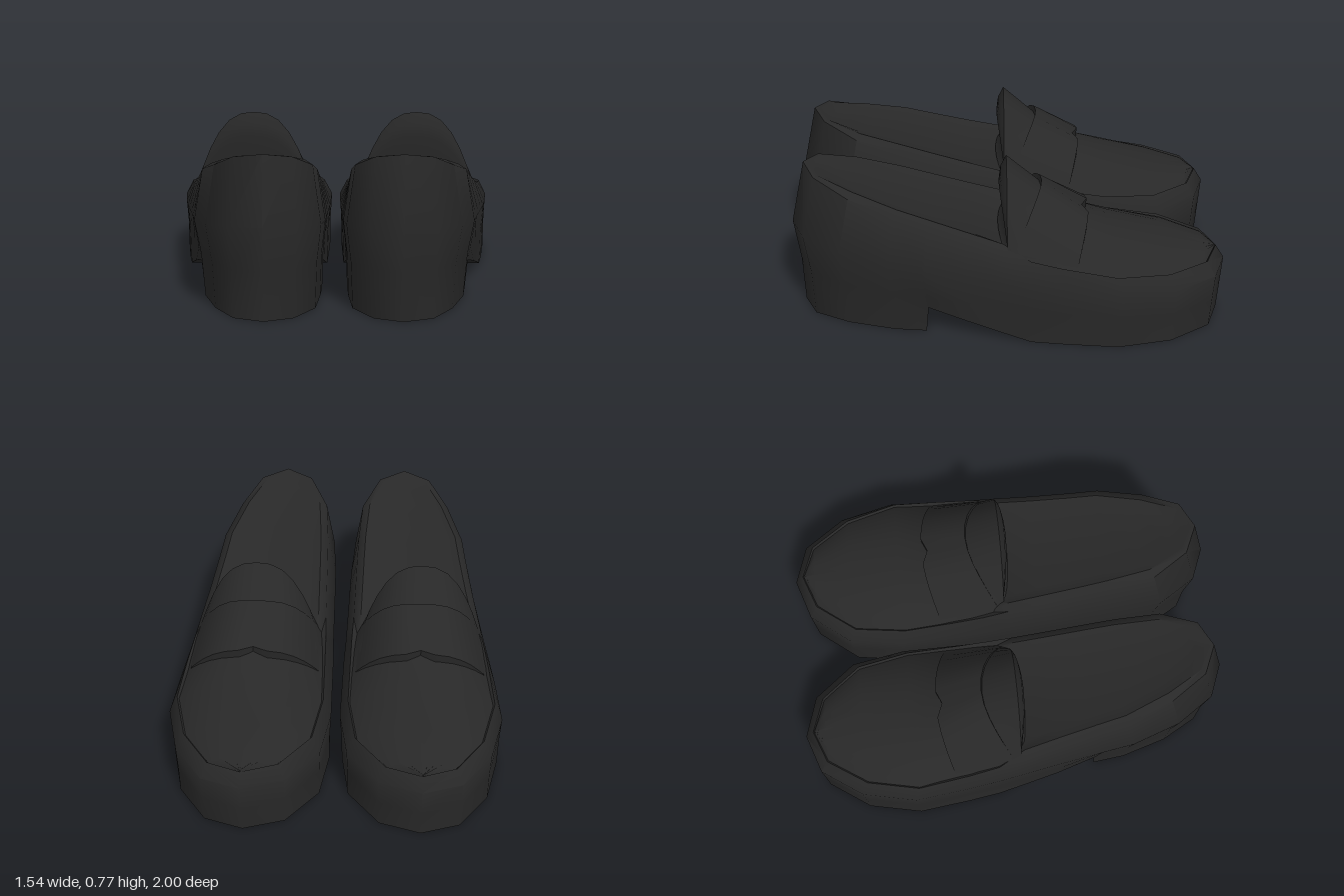
import * as THREE from 'three';
import { toCreasedNormals } from 'three/addons/utils/BufferGeometryUtils.js';

const { lerp, smoothstep } = THREE.MathUtils;

// Skins a list of cross-sections; side = -1 mirrors the part for the other shoe.
function loft(rows, closed, side, crease) {
  const n = rows[0].length, position = [], index = [];
  rows.forEach(r => r.forEach(p => position.push(p[0] * side, p[1], p[2])));
  const same = (a, b) => [0, 1, 2].every(k => Math.abs(position[a * 3 + k] - position[b * 3 + k]) < 1e-5);
  const tri = (a, b, c) => {
    if (same(a, b) || same(b, c) || same(a, c)) return;
    if (side > 0) index.push(a, b, c); else index.push(a, c, b);
  };
  for (let i = 0; i < rows.length - 1; i++) {
    for (let j = 0; j < (closed ? n : n - 1); j++) {
      const a = i * n + j, b = i * n + (j + 1) % n;
      tri(a, b, b + n);
      tri(a, b + n, a + n);
    }
  }
  const g = new THREE.BufferGeometry();
  g.setAttribute('position', new THREE.Float32BufferAttribute(position, 3));
  g.setIndex(index);
  return toCreasedNormals(g, crease);
}

// Height of the top edge of the shoe along its length.
const RIM = [[-1, 0.325], [-0.8, 0.322], [-0.4, 0.35], [-0.1, 0.43], [0, 0.46], [0.25, 0.53], [0.5, 0.605], [0.93, 0.722]];
function rimY(z) {
  let i = 0;
  while (i < RIM.length - 2 && z > RIM[i + 1][0]) i++;
  const [z0, y0] = RIM[i], [z1, y1] = RIM[i + 1];
  return lerp(y0, y1, (z - z0) / (z1 - z0));
}
// The outer edge of the rim sits lower along the quarters, forming a bevel.
const bevelY = z => rimY(z) - 0.025 * smoothstep(z, -0.4, -0.1) * (1 - smoothstep(z, 0.75, 0.93));
// The insole is a shallow hollow that drops away under the toe cover.
const insoleY = z => rimY(z) - lerp(0.06, 0.02, smoothstep(z, -0.1, 0.1));
const lipY = z => rimY(z) - 0.05 * (1 - smoothstep(z, -0.1, 0));

// Outline stations from toe to heel: z, inner x, outer x, sole height, extra outer taper.
const OUTLINE = [
  [-1, 0.4, 0.4, 0, 0], [-0.94, 0.21, 0.58, 0, 0], [-0.75, 0.06, 0.713, 0, 0], [-0.5, 0.02, 0.77, 0, 0],
  [-0.25, 0.023, 0.745, 0, 0], [-0.1, 0.025, 0.725, 0, 0], [0.03, 0.03, 0.705, 0.036, 0],
  [0.2, 0.033, 0.678, 0.083, 0], [0.383, 0.036, 0.652, 0.13, 0.015], [0.395, 0.036, 0.65, 0, 0.025],
  [0.55, 0.04, 0.63, 0, 0.02], [0.77, 0.055, 0.56, 0, 0.01], [0.94, 0.155, 0.45, 0, 0], [1, 0.3, 0.3, 0, 0],
];

function bodySection([z, xl, xr, sole, taper]) {
  const k = (z + 1) / 2, c = (xl + xr) / 2, h = (xr - xl) / 2;
  const level = (inset, toeScale, heelScale, yAt, extra = 0) => {
    const lz = z * (z < 0 ? toeScale : heelScale), w = h - inset * Math.min(1, h / 0.25);
    return [[c - w, yAt(lz), lz], [c + w - extra, yAt(lz), lz]];
  };
  const levels = [
    level(lerp(0.003, 0.03, k), 0.98, 0.96, () => sole, taper),
    level(lerp(0.002, 0.022, k), 0.99, 0.97, () => lerp(0.13, 0.22, k), taper / 2),
    level(0, 1, 1, () => 0.26 + 0.16 * k * k),
    level(0.037, 0.96, 0.935, bevelY),
    level(0.072, 0.94, 0.915, lipY),
    level(0.12, 0.92, 0.87, insoleY),
  ];
  return [levels[0][0], ...levels.map(l => l[1]), ...levels.slice(1).reverse().map(l => l[0])];
}

// Arched section: z at the middle, extra z at the sides, x range, side and crown heights, fullness.
function arch([z, dz, xl, xr, base, top, power = 2.6], notch = 0) {
  const points = [];
  for (let i = 0; i <= 14; i++) {
    const t = Math.cos(i / 14 * Math.PI);
    points.push([
      (xl + xr) / 2 + (xr - xl) / 2 * t,
      base + (top - base) * (1 - Math.abs(t) ** power),
      z + dz * t * t + (i === 7 ? notch : 0),
    ]);
  }
  return points;
}

const VAMP = [
  [-0.955, 0, 0.399, 0.401, 0.318, 0.33], [-0.898, 0, 0.245, 0.545, 0.314, 0.352],
  [-0.72, 0, 0.102, 0.671, 0.313, 0.39], [-0.48, 0, 0.062, 0.728, 0.33, 0.45, 2.3],
  [-0.34, 0.05, 0.065, 0.707, 0.352, 0.5, 2.3], [-0.15, 0.11, 0.085, 0.68, 0.405, 0.63, 2.4],
  [0.01, 0, 0.118, 0.66, 0.43, 0.768],
];
const THROAT = [
  [0.01, 0, 0.118, 0.66, 0.43, 0.768], [0.037, -0.03, 0.122, 0.655, 0.43, 0.715],
  [0.045, -0.038, 0.127, 0.65, 0.43, 0.655], [0.025, -0.018, 0.132, 0.645, 0.43, 0.55],
  [0.02, -0.013, 0.135, 0.64, 0.43, 0.49], [0.05, -0.03, 0.14, 0.635, 0.425, 0.45],
];
const STRAP = [
  [-0.36, 0.06, 0.092, 0.682, 0.355, 0.48], [-0.365, 0.06, 0.086, 0.688, 0.375, 0.535],
  [-0.15, 0.13, 0.098, 0.672, 0.42, 0.663], [-0.145, 0.13, 0.106, 0.664, 0.405, 0.62],
];

export function createModel() {
  const model = new THREE.Group();
  model.name = 'loafers';
  const leather = new THREE.MeshStandardMaterial({ color: 0x282828 });
  leather.name = 'black leather';

  for (const side of [1, -1]) {
    const shoe = new THREE.Group();
    shoe.name = side > 0 ? 'leftShoe' : 'rightShoe';
    const add = (name, rows, closed, crease) => {
      const mesh = new THREE.Mesh(loft(rows, closed, side, crease), leather);
      mesh.name = name;
      shoe.add(mesh);
    };
    // Sole, heel block, side walls, bevelled rim and insole
    add('body', OUTLINE.map(bodySection), true, 0.88);
    // Toe cover rising into the tongue
    add('vamp', VAMP.map(r => arch(r)), false, 0.8);
    // Tongue lip and the hollow throat that runs down into the insole
    add('throat', THROAT.map(r => arch(r)), false, 1);
    // Raised band with a small notch in its toe-side edge
    add('strap', STRAP.map((r, i) => arch(r, i < 2 ? 0.03 : 0)), false, 0.7);
    model.add(shoe);
  }
  return model;
}
